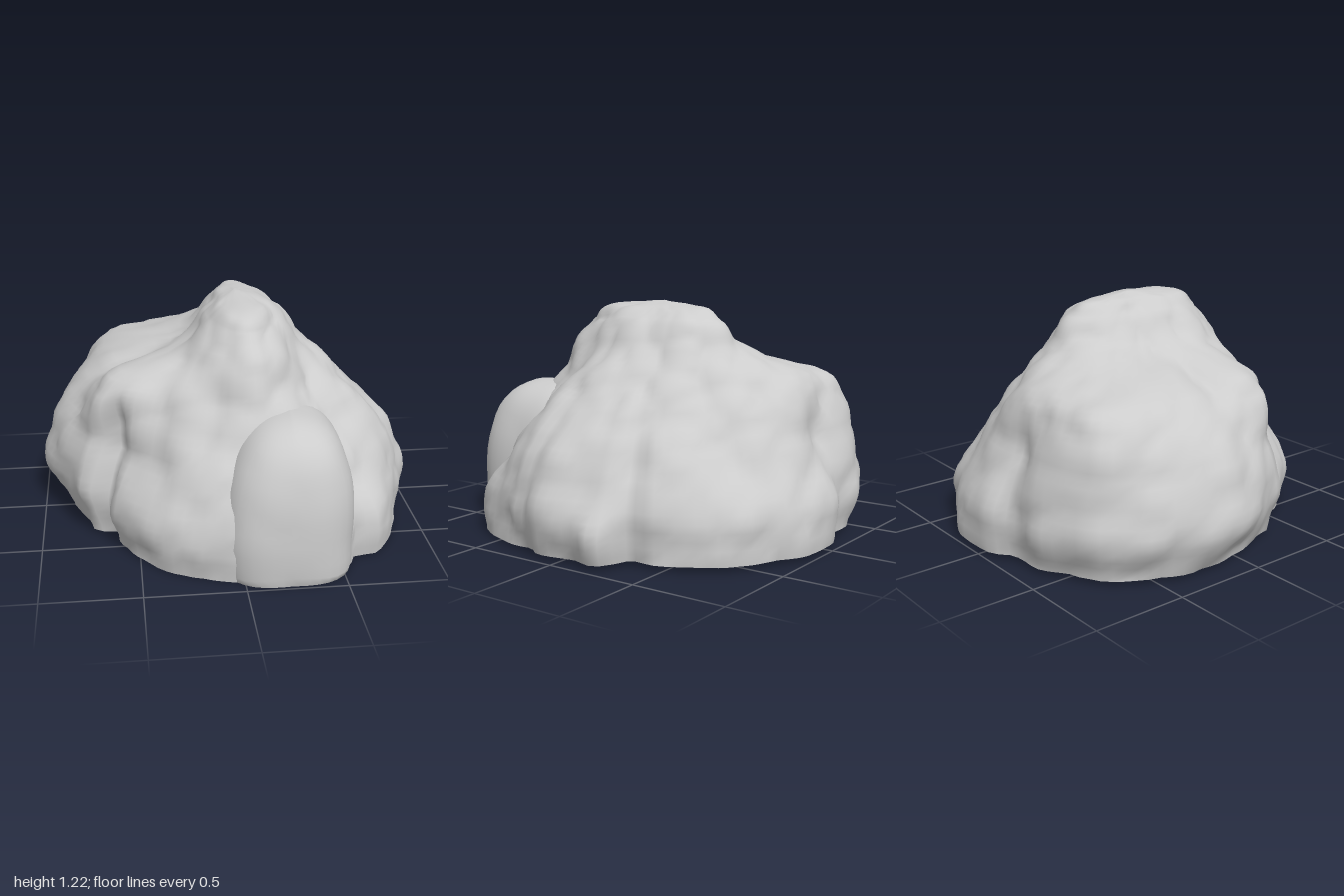
import * as THREE from 'three';

// Contours of the main mass: height, then 16 radii running from +x towards +z
const LEVELS = [
  [0.02, [.90, .92, .96, .94, .92, .91, .84, .82, .89, 1.0, 1.06, .96, .98, .96, .91, .86]],
  [0.25, [.92, .93, .95, .94, .93, .93, .86, .87, 1.01, 1.08, 1.12, 1.0, .97, .95, .88, .86]],
  [0.50, [.82, .83, .79, .85, .86, .81, .74, .82, .95, 1.01, 1.06, .93, .85, .80, .75, .75]],
  [0.70, [.65, .69, .65, .70, .70, .64, .67, .80, .81, .88, .98, .85, .78, .69, .61, .63]],
  [0.85, [.50, .53, .54, .56, .61, .56, .60, .70, .65, .70, .83, .76, .68, .55, .48, .46]],
  [1.00, [.33, .36, .41, .50, .55, .49, .40, .32, .29, .30, .35, .40, .46, .42, .36, .31]],
  [1.12, [.22, .24, .31, .41, .47, .37, .25, .19, .17, .17, .20, .27, .38, .34, .26, .21]],
  [1.19, [.12, .14, .20, .30, .37, .24, .13, .09, .08, .09, .12, .16, .25, .22, .16, .12]],
  [1.215, new Array(16).fill(0)],
];
// Clefts (negative) and ribs (positive): angle, depth, width in degrees, top height
const CLEFTS = [
  [54, -.06, 3.5, .65], [150, -.08, 4, .75], [157, .03, 5, .85], [336, -.05, 4, .8],
  [346, .075, 6, .3], [15, -.03, 4, .7], [256, -.03, 4, .75], [244, .03, 5, .5],
];
const COLS = 112, ROWS = 44, CX = 0.05;

function hash(x, y, z) {
  const s = Math.sin(x * 127.1 + y * 311.7 + z * 74.7) * 43758.5453;
  return s - Math.floor(s);
}

// Rounded lumps with creases between them
function lumps(x, y, z) {
  const ix = Math.floor(x), iy = Math.floor(y), iz = Math.floor(z);
  let best = 9;
  for (let i = -1; i <= 1; i++) for (let j = -1; j <= 1; j++) for (let k = -1; k <= 1; k++) {
    const a = ix + i, b = iy + j, c = iz + k;
    const dx = a + hash(a, b, c) - x, dy = b + hash(b, c, a + 7) - y, dz = c + hash(c, a, b + 13) - z;
    best = Math.min(best, dx * dx + dy * dy + dz * dz);
  }
  return 0.3 - best;
}

function spline(a, b, c, d, t) {
  return b + 0.5 * t * (c - a + t * (2 * a - 5 * b + 4 * c - d + t * (3 * (b - c) + d - a)));
}

function ringRadius(ring, u) {
  const k = Math.floor(u), at = i => ring[(i + 32) % 16];
  return spline(at(k - 1), at(k), at(k + 1), at(k + 2), u - k);
}

// The underside dips gently to the front
const floorHeight = (x, z) => 0.016 - 0.012 * z + 0.012 * x * x;

function surfacePoint(row, col) {
  const last = LEVELS.length - 1;
  const t = row / ROWS * last, k = Math.min(Math.floor(t), last - 1), f = t - k;
  const angle = col / COLS * Math.PI * 2, deg = col / COLS * 360;
  const lv = i => LEVELS[Math.max(0, Math.min(last, i))];
  const rad = i => ringRadius(lv(i)[1], col / COLS * 16);
  let y = THREE.MathUtils.lerp(lv(k)[0], lv(k + 1)[0], f);
  let r = Math.max(0, spline(rad(k - 1), rad(k), rad(k + 1), rad(k + 2), f));
  if (row === ROWS) r = 0;
  for (const [at, depth, width, top] of CLEFTS) {
    const d = ((deg - at + 540) % 360 - 180) / width;
    r += depth * Math.exp(-d * d) * (1 - THREE.MathUtils.smoothstep(y, top - 0.15, top + 0.1));
  }
  const c = Math.cos(angle), s = Math.sin(angle);
  const x = c * r, z = s * r;
  const bump = 0.06 * lumps(x * 2.6 + 5, y * 2.6, z * 2.6 + 3) + 0.035 * lumps(x * 6, y * 6 + 4, z * 6);
  r += bump * Math.min(1, r / 0.3);
  y += bump * 0.6 * THREE.MathUtils.smoothstep(y, 0.2, 0.8);
  if (row === 0) y = floorHeight(x, z);
  return [CX + c * r, y, s * r];
}

function makeGeometry(positions, index) {
  const g = new THREE.BufferGeometry();
  g.setAttribute('position', new THREE.Float32BufferAttribute(positions, 3));
  g.setIndex(index);
  g.computeVertexNormals();
  return g;
}

// Squarish rounded stone leaning against the front, flat where it meets the ground
function frontStoneGeometry() {
  const g = new THREE.SphereGeometry(1, 48, 32);
  const p = g.attributes.position, v = new THREE.Vector3(), power = 3;
  for (let i = 0; i < p.count; i++) {
    v.fromBufferAttribute(p, i);
    const norm = (Math.abs(v.x) ** power + Math.abs(v.y) ** power + Math.abs(v.z) ** power) ** (1 / power);
    v.divideScalar(norm);
    const up = Math.max(0, v.y);
    const x = 0.22 + v.x * 0.345 * (1 - 0.1 * up) + 0.03 * up;
    const y = 0.22 + v.y * 0.56 - 0.04 * up * Math.abs(v.x);
    const z = 0.62 + v.z * 0.375 - 0.03 * up;
    const bump = 1 + 0.06 * lumps(x * 3, y * 3, z * 3);
    p.setXYZ(i, 0.22 + (x - 0.22) * bump, Math.max(floorHeight(x, z), y), 0.62 + (z - 0.62) * bump);
  }
  g.computeVertexNormals();
  return g;
}

export function createModel() {
  const group = new THREE.Group();
  group.name = 'rock';
  const stone = new THREE.MeshStandardMaterial({ color: 0xcccccc });
  stone.name = 'stone grey';
  const add = (name, geometry) => {
    const mesh = new THREE.Mesh(geometry, stone);
    mesh.name = name;
    group.add(mesh);
  };

  // Loft the rows into a skin ending in one summit vertex
  const pos = [], index = [];
  for (let i = 0; i < ROWS; i++) for (let j = 0; j < COLS; j++) pos.push(...surfacePoint(i, j));
  const summit = ROWS * COLS;
  pos.push(...surfacePoint(ROWS, 0));
  for (let i = 0; i < ROWS; i++) for (let j = 0; j < COLS; j++) {
    const n = (j + 1) % COLS, a = i * COLS + j, b = i * COLS + n;
    if (i === ROWS - 1) index.push(a, summit, b);
    else index.push(a, a + COLS, b, b, a + COLS, b + COLS);
  }
  add('boulder', makeGeometry(pos, index));
  add('frontStone', frontStoneGeometry());

  // Flat underside as a fan
  const basePos = pos.slice(0, COLS * 3), baseIndex = [];
  basePos.push(CX, 0.016, 0);
  for (let j = 0; j < COLS; j++) baseIndex.push(COLS, j, (j + 1) % COLS);
  add('underside', makeGeometry(basePos, baseIndex));
  return group;
}
